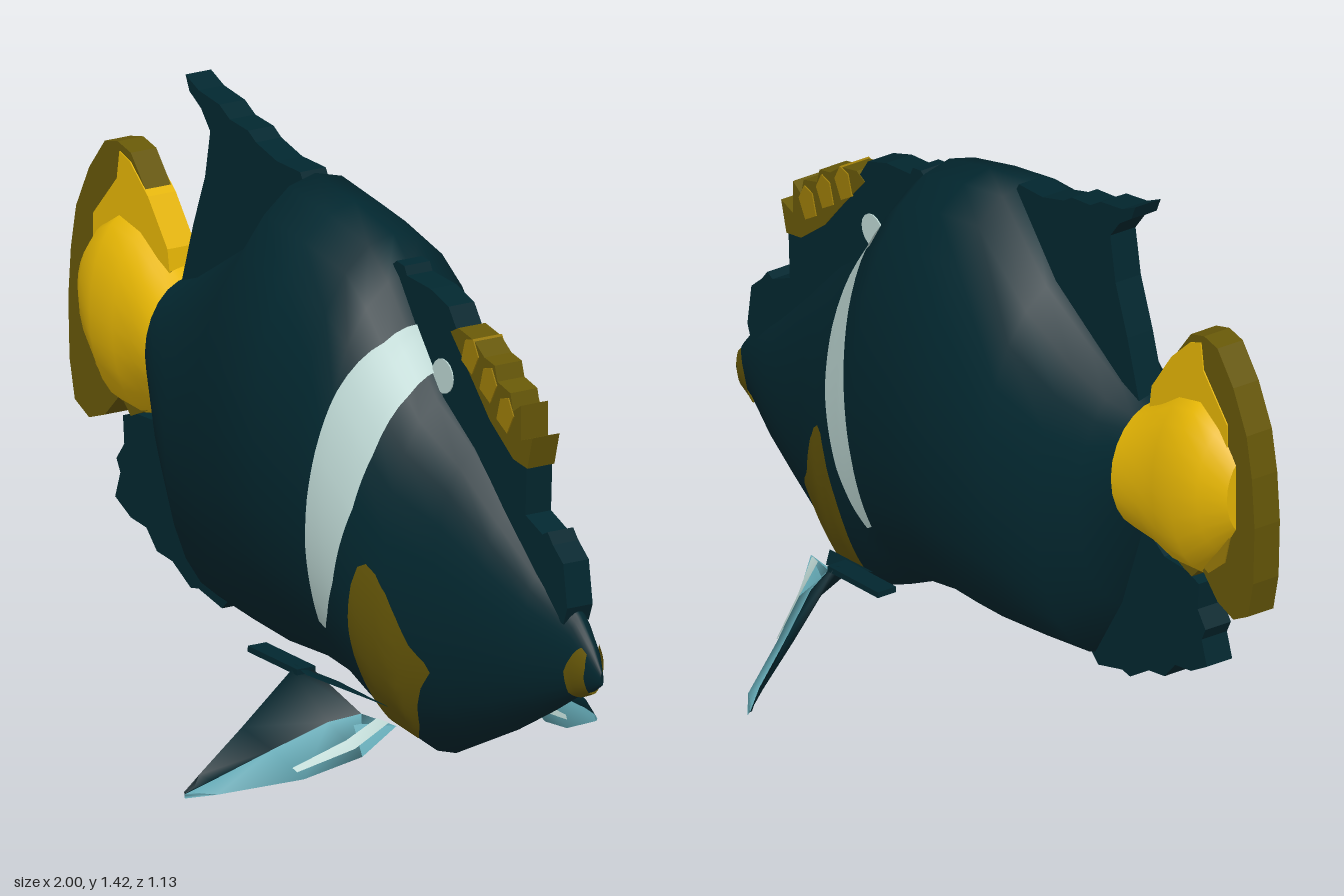
import * as THREE from 'three';

const mat = (name, color) => {
  const m = new THREE.MeshStandardMaterial({ color, side: THREE.DoubleSide });
  m.name = name;
  return m;
};

// Body stations from nose to tail: x, top, bottom, half width
const BODY = [
  [1, 0.385, 0.355, 0.004], [0.97, 0.44, 0.335, 0.02], [0.92, 0.5, 0.315, 0.035], [0.8, 0.59, 0.245, 0.08],
  [0.68, 0.7, 0.18, 0.115], [0.56, 0.82, 0.125, 0.155], [0.44, 0.91, 0.07, 0.2],
  [0.35, 1.03, 0.09, 0.23], [0.27, 1.15, 0.13, 0.25], [0.2, 1.22, 0.17, 0.265],
  [0.05, 1.26, 0.2, 0.28], [-0.1, 1.29, 0.2, 0.28], [-0.25, 1.12, 0.215, 0.235],
  [-0.4, 1.03, 0.235, 0.2], [-0.5, 0.97, 0.4, 0.16], [-0.58, 0.94, 0.62, 0.125],
];
const TAIL_BASE = [
  [-0.58, 0.94, 0.62, 0.125], [-0.65, 0.98, 0.61, 0.115], [-0.72, 1.03, 0.59, 0.115],
  [-0.8, 1.05, 0.6, 0.12], [-0.87, 1.01, 0.68, 0.1], [-0.93, 0.95, 0.75, 0.06],
  [-0.93, 0.95, 0.75, 0.06], [-0.932, 0.86, 0.85, 0.002],
];

// Point on an elliptical ring; t = 0 is the top, t = PI the bottom
const ringPoint = ([x, top, bot, w], t, off = 0) => [
  x, (top + bot) / 2 + ((top - bot) / 2 + off) * Math.cos(t), (w + off) * Math.sin(t)];

function bodyAt(x) {
  let i = 0;
  while (i < BODY.length - 2 && BODY[i + 1][0] > x) i++;
  const a = BODY[i], b = BODY[i + 1], k = (a[0] - x) / (a[0] - b[0]);
  return a.map((v, n) => v + (b[n] - v) * k);
}

// Surface through rows of points, optionally closed around each row
function skin(rows, closed) {
  const n = rows[0].length, pos = rows.flat(2), idx = [];
  for (let i = 0; i < rows.length - 1; i++) {
    for (let j = 0; j < (closed ? n : n - 1); j++) {
      const a = i * n + j, b = i * n + (j + 1) % n, c = a + n, d = b + n;
      idx.push(a, c, b, b, c, d);
    }
  }
  const g = new THREE.BufferGeometry();
  g.setAttribute('position', new THREE.Float32BufferAttribute(pos, 3));
  g.setIndex(idx);
  g.computeVertexNormals();
  return g;
}

const loft = (stations, sides = 24) => skin(stations.map(s =>
  Array.from({ length: sides }, (_, j) => ringPoint(s, j / sides * Math.PI * 2))), true);

// Painted marking that follows the body; rows are angle, front x, back x
function marking(rows, side) {
  const out = [], cols = 8, steps = 4;
  for (let i = 0; i < rows.length - 1; i++) {
    for (let k = i ? 1 : 0; k <= steps; k++) {
      const [t, x0, x1] = rows[i].map((v, n) => v + (rows[i + 1][n] - v) * k / steps);
      out.push(Array.from({ length: cols + 1 }, (_, j) => {
        const p = ringPoint(bodyAt(x0 + (x1 - x0) * j / cols), t, 0.006);
        return [p[0], p[1], p[2] * side];
      }));
    }
  }
  return skin(out, false);
}

// Upright fin plate centred on z = 0
function plate(points, depth) {
  const shape = new THREE.Shape(points.map(p => new THREE.Vector2(...p)));
  const g = new THREE.ExtrudeGeometry(shape, { depth, bevelEnabled: false });
  return g.translate(0, 0, -depth / 2);
}

export function createModel() {
  const group = new THREE.Group();
  const dark = mat('deep teal', 0x02272f), yellow = mat('yellow', 0xe6b604);
  const olive = mat('olive', 0x675808), gold = mat('dull gold', 0x9c7c08);
  const white = mat('pale stripe', 0xbcd6d2), teal = mat('fin teal', 0x64a9b5);
  const add = (name, geometry, material) => {
    const m = new THREE.Mesh(geometry, material);
    m.name = name;
    group.add(m);
    return m;
  };

  add('body', loft(BODY), dark);
  add('tailBase', loft(TAIL_BASE), yellow);

  // Fins along the middle
  add('rearDorsalFin', plate([[-0.09, 1.26], [-0.11, 1.295], [-0.2, 1.3], [-0.28, 1.325], [-0.31, 1.345],
    [-0.38, 1.355], [-0.42, 1.38], [-0.5, 1.395], [-0.55, 1.42], [-0.535, 1.385], [-0.49, 1.355],
    [-0.455, 1.31], [-0.475, 1.2], [-0.52, 1.08], [-0.57, 0.92], [-0.4, 0.9], [-0.1, 1.1]], 0.07), dark);
  add('headCrest', plate([[0.24, 1.16], [0.26, 1.175], [0.29, 1.17], [0.3, 1.15], [0.39, 1.14], [0.46, 1.115],
    [0.49, 1.07], [0.58, 1.0], [0.68, 0.9], [0.76, 0.82], [0.755, 0.7], [0.82, 0.67], [0.84, 0.68],
    [0.86, 0.655], [0.9, 0.62], [0.915, 0.52], [0.9, 0.48], [0.8, 0.5],
    [0.5, 0.8], [0.3, 1.05]], 0.07), dark);
  add('crestTip', plate([[0.47, 1.06], [0.5, 1.075], [0.56, 1.06], [0.6, 1.03], [0.64, 1.02], [0.65, 0.985],
    [0.7, 0.97], [0.71, 0.93], [0.74, 0.95], [0.74, 0.87], [0.785, 0.885], [0.765, 0.81], [0.71, 0.82],
    [0.62, 0.89], [0.56, 0.96]], 0.074), olive);
  // Brighter flecks on the crest
  [[0.545, 1.025], [0.615, 0.975], [0.68, 0.92]].forEach(([x, y], i) => add('crestFleck' + (i + 1),
    plate([[x - 0.03, y - 0.02], [x + 0.01, y - 0.045], [x + 0.035, y], [x + 0.015, y + 0.038], [x - 0.015, y + 0.03]],
      0.08), gold));
  add('tailFin', plate([[-0.6, 0.92], [-0.62, 1.0], [-0.69, 1.1], [-0.76, 1.19], [-0.81, 1.205], [-0.86, 1.195],
    [-0.92, 1.12], [-0.97, 1.02], [-0.99, 0.92], [-1, 0.8], [-0.995, 0.66], [-0.975, 0.57], [-0.92, 0.54],
    [-0.86, 0.56], [-0.8, 0.62], [-0.76, 0.58], [-0.69, 0.61], [-0.6, 0.68]], 0.07), olive);
  add('tailFinFront', plate([[-0.6, 0.9], [-0.615, 1.0], [-0.69, 1.105], [-0.76, 1.17], [-0.8, 1.185],
    [-0.81, 1.12], [-0.9, 1.02], [-0.9, 0.95], [-0.75, 0.85]], 0.076), yellow);
  add('tailFinLower', plate([[-0.82, 0.75], [-0.91, 0.74], [-0.89, 0.67], [-0.83, 0.62], [-0.78, 0.64]], 0.076), gold);
  add('analFin', plate([[-0.36, 0.26], [-0.41, 0.215], [-0.5, 0.24], [-0.53, 0.235], [-0.6, 0.28], [-0.66, 0.29],
    [-0.7, 0.335], [-0.76, 0.345], [-0.82, 0.38], [-0.8, 0.44], [-0.815, 0.47], [-0.785, 0.51],
    [-0.79, 0.575], [-0.74, 0.59], [-0.66, 0.59], [-0.58, 0.64], [-0.5, 0.6]], 0.07), dark);

  for (const side of [1, -1]) {
    const s = side > 0 ? 'right' : 'left';
    const flip = p => [p[0], p[1], p[2] * side];

    // Painted markings
    add(s + 'Stripe', marking([[0, 0.41, 0.345], [0.5, 0.405, 0.325], [1, 0.385, 0.28], [1.35, 0.36, 0.253],
      [1.6, 0.33, 0.235], [1.85, 0.3, 0.22], [2.1, 0.258, 0.212], [2.25, 0.228, 0.207]], side), white);
    add(s + 'CheekPatch', marking([[1.54, 0.425, 0.4], [1.6, 0.45, 0.378], [1.73, 0.475, 0.358], [1.88, 0.5, 0.342],
      [1.99, 0.535, 0.332], [2.06, 0.545, 0.328], [2.18, 0.51, 0.325], [2.32, 0.485, 0.327], [2.5, 0.465, 0.332],
      [2.62, 0.44, 0.345]], side), olive);
    add(s + 'LipPatch', marking([[0.9, 0.97, 0.955], [1.5, 0.97, 0.93], [1.9, 0.965, 0.91], [2.5, 0.965, 0.908],
      [3.14, 0.965, 0.93]], side), olive);
    const spot = add(s + 'CrestSpot', new THREE.CylinderGeometry(0.04, 0.04, 0.006, 16), white);
    spot.rotation.x = Math.PI / 2;
    spot.position.set(0.44, 0.95, side * 0.035);

    // Swept side fin: pale leading half and dark trailing half, thickened along the crease
    const lead = [[0.47, 0.17, 0.185], [0.43, 0.1, 0.25], [0.36, 0.05, 0.36], [0.25, 0.015, 0.52], [0.19, 0, 0.565]];
    const crease = [[0.37, 0.18, 0.21], [0.34, 0.165, 0.28], [0.28, 0.105, 0.39], [0.22, 0.04, 0.51], [0.185, 0.008, 0.562]];
    const trail = [[0.24, 0.27, 0.26], [0.23, 0.265, 0.3], [0.22, 0.15, 0.43], [0.195, 0.05, 0.53], [0.18, 0.012, 0.56]];
    const under = crease.map((p, i) => p.map((v, k) => v - [0.61, 0.47, 0.64][k] * 0.035 * (1 - i / 4)));
    const half = edge => skin(edge.map((p, i) => [flip(p), flip(crease[i]), flip(under[i])]), true);
    add(s + 'FinLeadingHalf', half(lead), teal);
    add(s + 'FinTrailingHalf', half(trail), dark);

    // Pale glint band on the leading half
    const band = [0, 1, 2].map(i => [0.2, 0.55 - i * 0.1].map(k =>
      flip(lead[i].map((v, n) => v + (crease[i][n] - v) * k + 0.004))));
    add(s + 'FinBand', skin(band, false), white);

    // Narrow fin root running back along the belly
    const root = add(s + 'FinRoot', new THREE.BoxGeometry(0.19, 0.014, 0.05), dark);
    root.position.set(0.155, 0.268, side * 0.275);
    root.rotation.z = -0.06;
    const arm = skin([[[0.24, 0.22, 0.18], [0.42, 0.2, 0.17]], [[0.22, 0.275, 0.29], [0.27, 0.26, 0.29]]]
      .map(r => r.map(flip)), false);
    add(s + 'FinArm', arm, dark);
  }
  return group;
}
